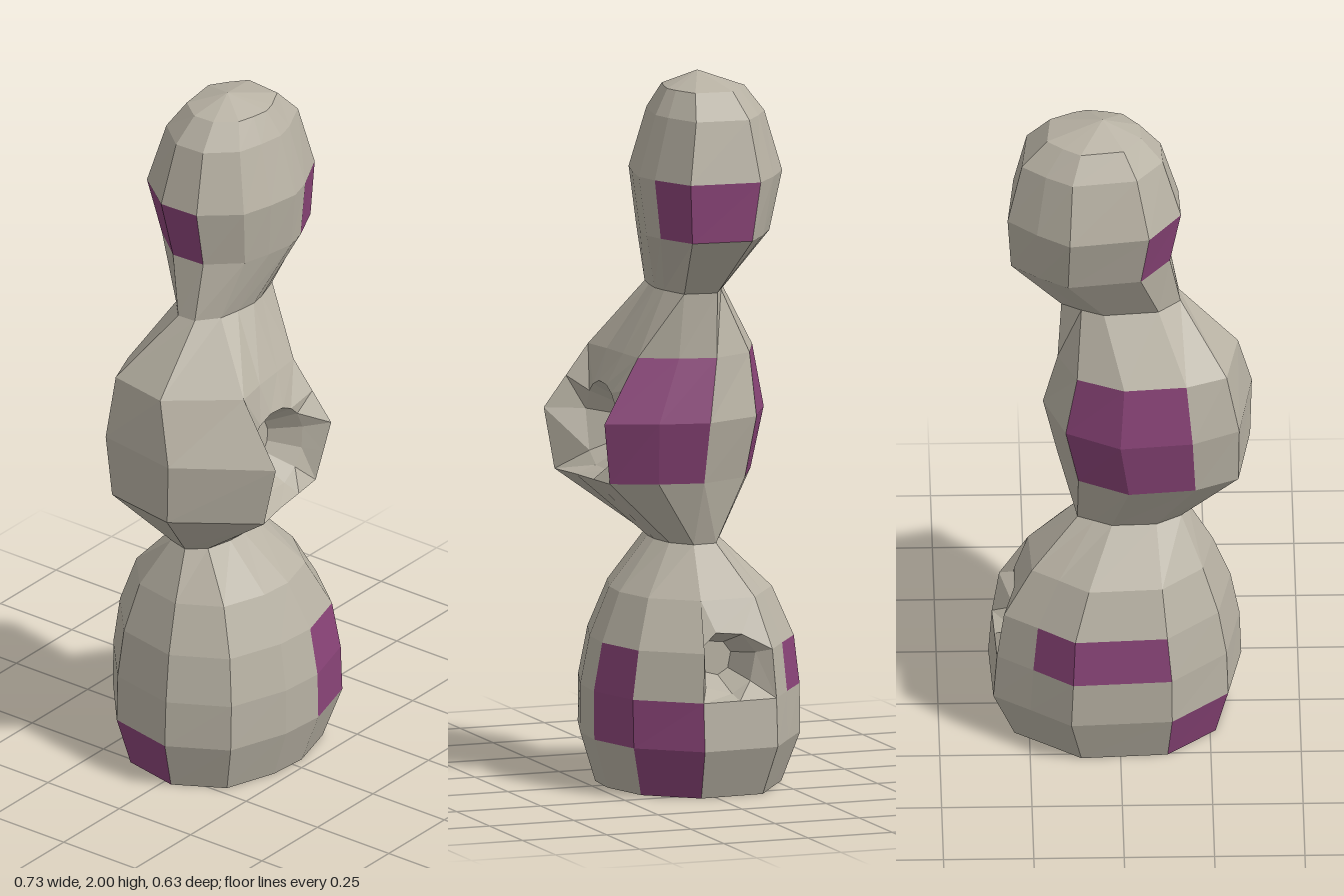
import * as THREE from 'three';

// Horizontal outlines of the three lobes: [x, z], running from the front round to +x.
const BASE = [[.05, .26], [.22, .21], [.35, .05], [.34, -.17], [.24, -.24], [.13, -.32],
  [-.145, -.305], [-.3, -.17], [-.34, .03], [-.25, .19], [-.08, .25]];
const MIDDLE = [[.02, .275], [.12, .26], [.18, .12], [.21, -.02], [.15, -.18], [0, -.26],
  [-.2, -.24], [-.33, -.18], [-.37, .07], [-.2, .315], [-.09, .29]];
const HEAD = [[.1, .15], [.17, .13], [.29, .07], [.31, -.13], [.23, -.2], [.14, -.26],
  [-.08, -.23], [-.17, -.11], [-.165, .01], [-.08, .11], [.01, .135]];

// Rings: outline, height, x range, z range.
const RINGS = [
  [BASE, 0, -.3, .3, -.27, .22],
  [BASE, .14, -.34, .36, -.315, .265],
  [BASE, .275, -.335, .35, -.315, .265],
  [BASE, .41, -.31, .33, -.3, .24],
  [BASE, .545, -.26, .25, -.25, .18],
  [BASE, .68, -.19, .12, -.12, .06],
  [MIDDLE, .86, -.365, .17, -.23, .28],
  [MIDDLE, 1.035, -.37, .21, -.26, .315],
  [MIDDLE, 1.21, -.33, .17, -.23, .19],
  [HEAD, 1.39, -.17, .16, -.12, .07],
  [HEAD, 1.555, -.14, .3, -.22, .13],
  [HEAD, 1.72, -.17, .31, -.26, .15],
  [HEAD, 1.89, -.12, .27, -.21, .1],
  [HEAD, 1.96, -.06, .2, -.16, .06],
];
const N = BASE.length;

// Fit an outline into the ring's x and z ranges.
function ringPoints([outline, y, x0, x1, z0, z1]) {
  const fit = (axis, lo, hi) => {
    const v = outline.map(p => p[axis]);
    const min = Math.min(...v), max = Math.max(...v);
    return v.map(a => lo + (hi - lo) * (a - min) / (max - min));
  };
  const xs = fit(0, x0, x1), zs = fit(1, z0, z1);
  return xs.map((x, i) => new THREE.Vector3(x, y, zs[i]));
}

// Coloured patches: name, first row, end row, first column, end column.
const PATCHES = [
  ['baseFrontPatchLow', 0, 1, 1, 2],
  ['baseFrontPatchMiddle', 1, 2, 0, 2],
  ['baseFrontPatchTop', 2, 3, 0, 1],
  ['baseBackPatch', 2, 3, 4, 6],
  ['baseLowerBackPatch', 0, 1, 6, 8],
  ['middleSidePatch', 6, 8, 1, 3],
  ['middleBackPatch', 6, 8, 4, 6],
  ['headSidePatch', 10, 11, 1, 3],
  ['headBackPatch', 10, 11, 6, 8],
];

// Craters: cells covered, rim centre, inward direction, radii and depth.
const CRATERS = [
  { name: 'baseCrater', rows: [2, 4], cols: [2, 3], centre: [.29, .375, -.035], inward: [-1, 0, 0], rim: .09, floor: .05, depth: .09 },
  { name: 'middleCrater', rows: [6, 8], cols: [9, 12], centre: [-.055, 1, .2], inward: [0, 0, -1], rim: .125, floor: .07, depth: .08 },
];

export function createModel() {
  const group = new THREE.Group();
  const stone = new THREE.MeshStandardMaterial({ color: 0xb8b2a4, flatShading: true });
  const purple = new THREE.MeshStandardMaterial({ color: 0x8a4478, flatShading: true });
  const rings = RINGS.map(ringPoints);
  const at = (r, c) => rings[r][(c + N) % N];

  const quad = (out, a, b, c, d) => out.push(a, b, c, a, c, d);
  const cell = (out, r, c) => quad(out, at(r, c), at(r, c + 1), at(r + 1, c + 1), at(r + 1, c));
  const addMesh = (name, points, material) => {
    const geometry = new THREE.BufferGeometry().setFromPoints(points);
    geometry.computeVertexNormals();
    const mesh = new THREE.Mesh(geometry, material);
    mesh.name = name;
    group.add(mesh);
  };
  const used = new Set();
  const claim = (r, c) => used.add(r * N + (c % N));

  // Purple patches
  for (const [name, r0, r1, c0, c1] of PATCHES) {
    const points = [];
    for (let r = r0; r < r1; r++) {
      for (let c = c0; c < c1; c++) {
        cell(points, r, c);
        claim(r, c);
      }
    }
    addMesh(name, points, purple);
  }

  // Craters: sloping surround, steep wall and flat floor
  for (const { name, rows: [r0, r1], cols: [c0, c1], centre, inward, rim, floor, depth } of CRATERS) {
    const corners = [];
    for (let c = c0; c < c1; c++) corners.push(at(r0, c));
    for (let r = r0; r < r1; r++) corners.push(at(r, c1));
    for (let c = c1; c > c0; c--) corners.push(at(r1, c));
    for (let r = r1; r > r0; r--) corners.push(at(r, c0));
    for (let r = r0; r < r1; r++) for (let c = c0; c < c1; c++) claim(r, c);
    // Split the long edges so the hole is rounder
    const edge = corners.flatMap((p, i) => {
      const q = corners[(i + 1) % corners.length];
      return p.distanceTo(q) > .18 ? [p, p.clone().lerp(q, .5)] : [p];
    });
    const mid = new THREE.Vector3(...centre), dir = new THREE.Vector3(...inward);
    const bottom = mid.clone().addScaledVector(dir, depth);
    const circle = (origin, radius) => edge.map(p =>
      p.clone().sub(mid).projectOnPlane(dir).setLength(radius).add(origin));
    const loops = [edge, circle(mid, rim), circle(bottom, floor)];
    const points = [];
    for (let k = 0; k < edge.length; k++) {
      const n = (k + 1) % edge.length;
      for (let l = 0; l < 2; l++) quad(points, loops[l][k], loops[l][n], loops[l + 1][n], loops[l + 1][k]);
      points.push(bottom, loops[2][k], loops[2][n]);
    }
    addMesh(name, points, stone);
  }

  // Body: every remaining cell, with the underside and crown closed
  const body = [];
  const last = rings.length - 1;
  const foot = new THREE.Vector3(0, 0, -.02), crown = new THREE.Vector3(.045, 2, -.045);
  for (let c = 0; c < N; c++) {
    for (let r = 0; r < last; r++) if (!used.has(r * N + c)) cell(body, r, c);
    body.push(foot, at(0, c + 1), at(0, c));
    body.push(crown, at(last, c), at(last, c + 1));
  }
  addMesh('body', body, stone);
  return group;
}
